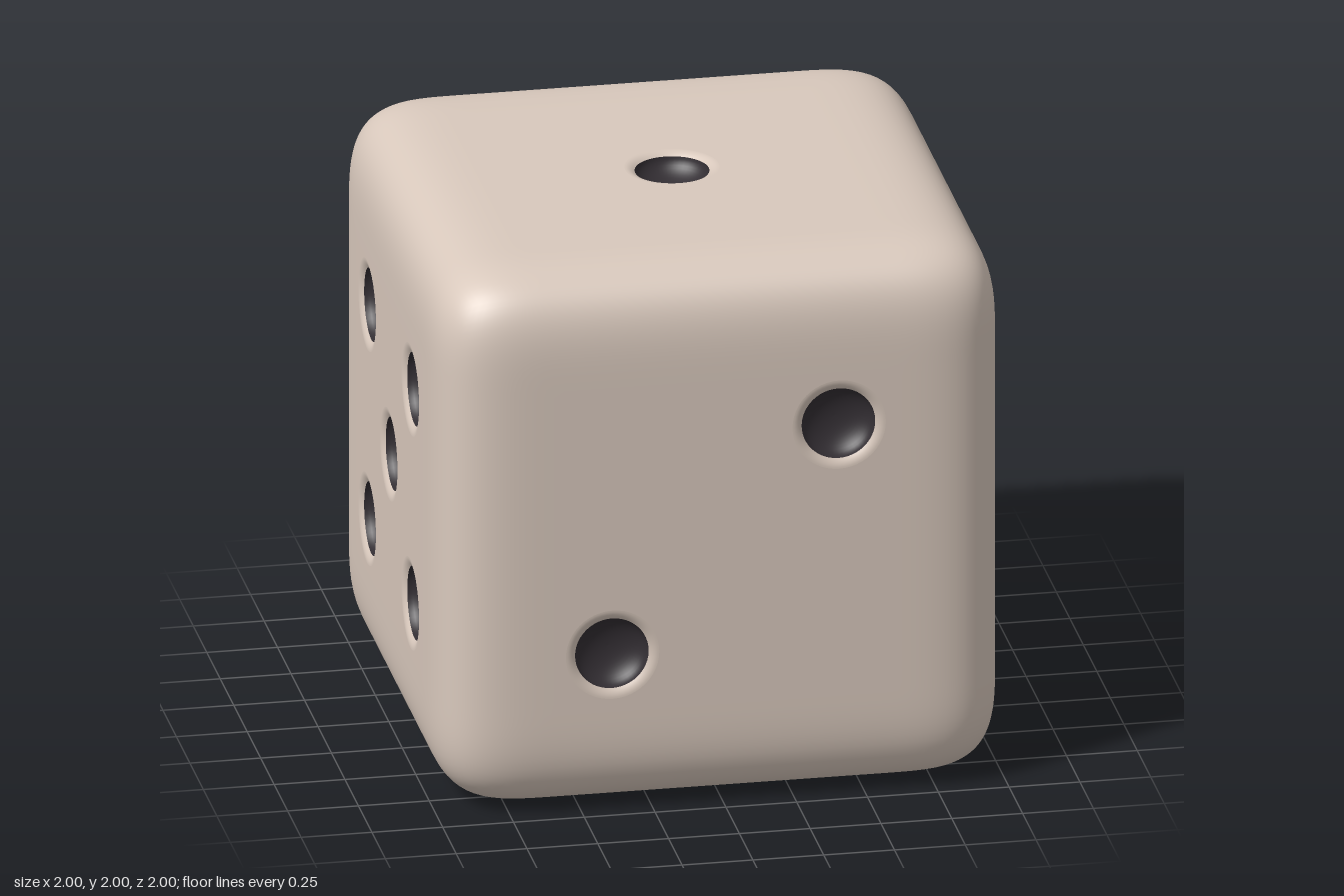
import * as THREE from 'three';

const FLAT = 0.57;        // half width of the flat centre of each face
const ROUND = 1 - FLAT;   // reach of the soft edge
const POWER = 3.78;       // squareness of the soft edge
const STEPS = 12;         // segments across the soft edge
const LIP_R = 0.165, PIP_R = 0.13, LIP_DEPTH = 0.014, PIP_DEPTH = 0.09;

// Rounded edges and corners: a box pushed onto a superellipsoid, flat centres left out
function roundedFrame() {
  const n = 2 * STEPS + 1;
  const geo = new THREE.BoxGeometry(2, 2, 2, n, n, n);
  const pos = geo.attributes.position, nor = geo.attributes.normal;
  const flat = [];
  for (let i = 0; i < pos.count; i++) {
    const p = [pos.getX(i), pos.getY(i), pos.getZ(i)];
    const sign = p.map(c => Math.sign(c));
    const d = p.map(c => Math.round(Math.abs(c) * n / 2 - 0.5) / STEPS);
    const len = Math.pow(d.reduce((s, c) => s + Math.pow(Math.min(c, 1), POWER), 0), 1 / POWER);
    const e = d.map(c => Math.min(c, 1) / len);
    pos.setXYZ(i, ...e.map((c, k) => sign[k] * (FLAT + ROUND * c)));
    const v = new THREE.Vector3(...e.map((c, k) => sign[k] * Math.pow(c, POWER - 1))).normalize();
    nor.setXYZ(i, v.x, v.y, v.z);
    flat.push(d.filter(c => c === 0).length === 2);
  }
  const src = geo.index.array, keep = [];
  for (let i = 0; i < src.length; i += 3) {
    const tri = [src[i], src[i + 1], src[i + 2]];
    if (!tri.every(k => flat[k])) keep.push(...tri);
  }
  geo.setIndex(keep);
  geo.clearGroups();
  return geo;
}

// Flat face centre with a round hole for every pip
function panelGeometry(dots) {
  const shape = new THREE.Shape([
    new THREE.Vector2(-FLAT, -FLAT), new THREE.Vector2(FLAT, -FLAT),
    new THREE.Vector2(FLAT, FLAT), new THREE.Vector2(-FLAT, FLAT)]);
  for (const [x, y] of dots) {
    shape.holes.push(new THREE.Path().absarc(x, y, LIP_R, 0, Math.PI * 2, true));
  }
  return new THREE.ShapeGeometry(shape, 24);
}

// Profile revolved around z, opening towards +z
function turned(points) {
  return new THREE.LatheGeometry(points, 48).rotateX(Math.PI / 2);
}

export function createModel() {
  const model = new THREE.Group();
  model.name = 'die';
  const ivory = new THREE.MeshStandardMaterial({ color: 0xd8c8bc, side: THREE.DoubleSide });
  const dark = new THREE.MeshStandardMaterial({ color: 0x332e33, side: THREE.DoubleSide });
  const add = (parent, name, geo, mat) => {
    const mesh = new THREE.Mesh(geo, mat);
    mesh.name = name;
    parent.add(mesh);
    return mesh;
  };

  // Soft lip that rolls from the face into the pip, and the dark bowl
  const lipPoints = [], bowlPoints = [];
  for (let i = 0; i <= 6; i++) {
    const t = i / 6;
    lipPoints.push(new THREE.Vector2(PIP_R + (LIP_R - PIP_R) * t, -LIP_DEPTH * (1 - t) ** 2));
  }
  for (let i = 0; i <= 12; i++) {
    const a = i / 12 * Math.PI / 2;
    bowlPoints.push(new THREE.Vector2(PIP_R * Math.sin(a),
      -LIP_DEPTH - (PIP_DEPTH - LIP_DEPTH) * Math.cos(a)));
  }
  const lipGeo = turned(lipPoints), bowlGeo = turned(bowlPoints);

  // Pip layouts and the turn that carries each face from +z into place
  const o = 0.4, q = Math.PI / 2;
  const corners = [[-o, -o], [o, -o], [o, o], [-o, o]];
  const faces = [
    ['topFace', [[0, 0]], [-q, 0]],
    ['frontFace', [[-o, -o], [o, o]], [0, 0]],
    ['rightFace', [[-o, -o], [0, 0], [o, o]], [0, q]],
    ['backFace', corners, [0, 2 * q]],
    ['leftFace', [...corners, [0, 0]], [0, -q]],
    ['bottomFace', [...corners, [-o, 0], [o, 0]], [q, 0]],
  ];

  const body = new THREE.Group();
  body.name = 'body';
  body.position.y = 1;
  model.add(body);
  add(body, 'roundedEdges', roundedFrame(), ivory);

  for (const [name, dots, [rx, ry]] of faces) {
    const face = new THREE.Group();
    face.name = name;
    face.rotation.set(rx, ry, 0);
    body.add(face);
    add(face, 'facePanel', panelGeometry(dots), ivory).position.z = 1;
    for (const [x, y] of dots) {
      add(face, 'pipLip', lipGeo, ivory).position.set(x, y, 1);
      add(face, 'pip', bowlGeo, dark).position.set(x, y, 1);
    }
  }
  return model;
}
